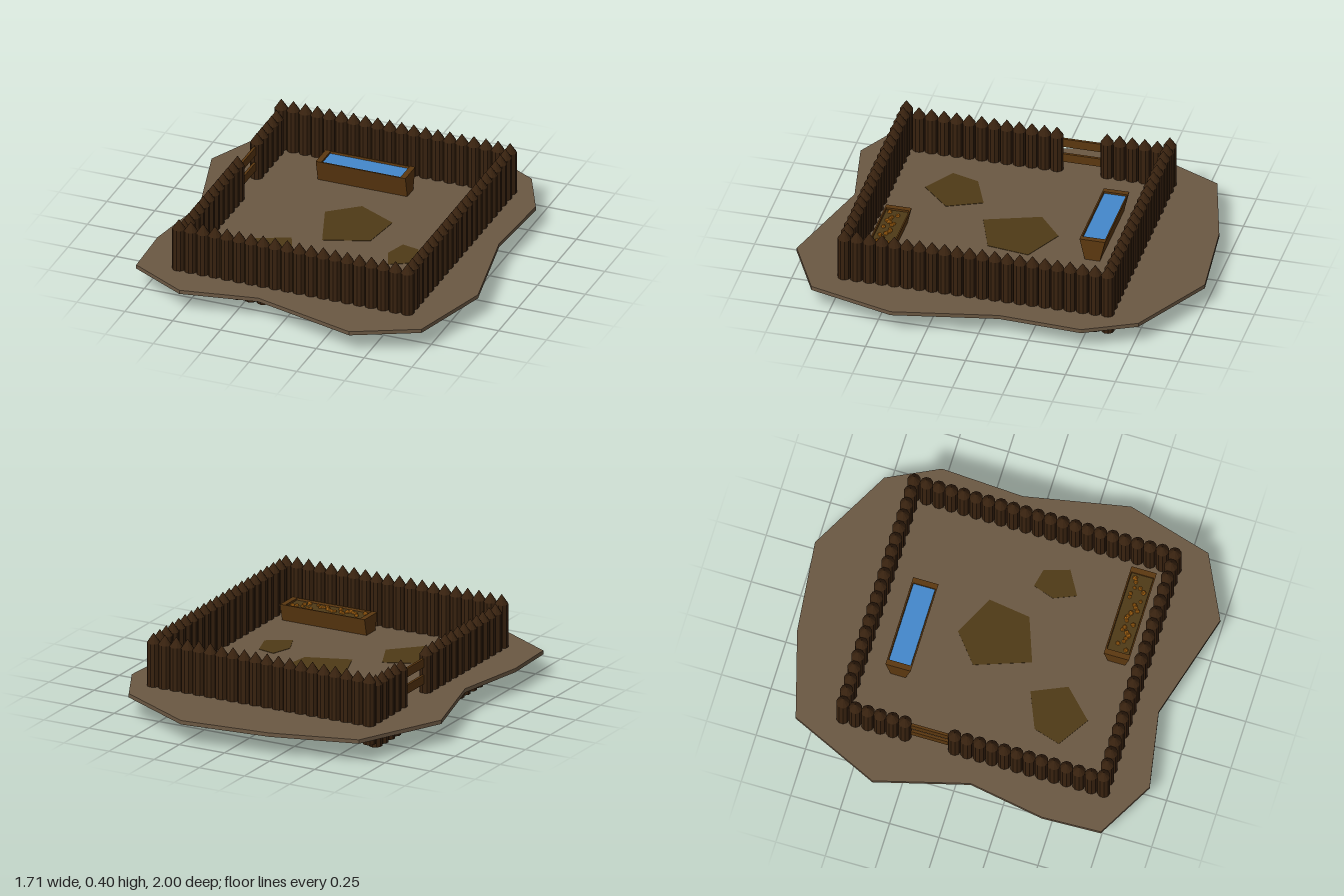
import * as THREE from 'three';

const mat = (color) => new THREE.MeshStandardMaterial({ color, flatShading: true });
const soil = mat(0x6b5843), mud = mat(0x4f3a17), bark = mat(0x38220f);
const plank = mat(0x5c3810), water = mat(0x4488cc), grain = mat(0xb56c14);

function add(parent, name, geometry, material, x = 0, y = 0, z = 0) {
  const mesh = new THREE.Mesh(geometry, material);
  mesh.name = name;
  mesh.position.set(x, y, z);
  parent.add(mesh);
  return mesh;
}

// Flat slab from an outline of [x, z] points, between two heights
function slab(points, bottom, top) {
  const shape = new THREE.Shape(points.map(([x, z]) => new THREE.Vector2(x, -z)));
  return new THREE.ExtrudeGeometry(shape, { depth: top - bottom, bevelEnabled: false })
    .rotateX(-Math.PI / 2).translate(0, bottom, 0);
}

// Cross-section in (z, y), extruded along x and centred
function beam(points, length) {
  const shape = new THREE.Shape(points.map(([z, y]) => new THREE.Vector2(z, y)));
  return new THREE.ExtrudeGeometry(shape, { depth: length, bevelEnabled: false })
    .translate(0, 0, -length / 2).rotateY(Math.PI / 2);
}

// Trough with sloping sides, thick end boards and a filling
function trough(name, fillName, fillMaterial) {
  const g = new THREE.Group();
  g.name = name;
  const length = 0.468, end = 0.028, w = 0.064, b = 0.038, h = 0.112, t = 0.007;
  const inner = length - 2 * end;
  add(g, 'troughSides', beam([[-b, 0], [b, 0], [w, h], [w - t, h],
    [b - t, 0.012], [t - b, 0.012], [t - w, h], [-w, h]], inner), plank);
  for (const s of [-1, 1]) {
    add(g, 'troughEnd', beam([[-b, 0], [b, 0], [w, h], [-w, h]], end), plank, s * (length - end) / 2);
  }
  add(g, fillName, beam([[t - b, 0.012], [b - t, 0.012], [w - t - 0.002, h - 0.01], [t + 0.002 - w, h - 0.01]], inner), fillMaterial);
  return g;
}

export function createModel() {
  const model = new THREE.Group();

  // Ground plate
  add(model, 'ground', slab([
    [0.24, -1], [0.655, -0.775], [0.78, -0.52], [0.757, -0.105], [0.857, 0.413],
    [0.735, 0.84], [0.42, 0.995], [-0.115, 0.845], [-0.5, 0.915], [-0.79, 0.755],
    [-0.8, 0.46], [-0.733, 0.08], [-0.857, -0.38], [-0.65, -0.83], [-0.22, -0.952],
  ], 0.105, 0.125), soil);

  // Mud patches, showing on both faces of the ground
  const patches = [
    [[0, -0.205], [0.2, -0.105], [0.17, 0.105], [-0.05, 0.185], [-0.145, -0.085]],
    [[0.33, 0.08], [0.42, 0.1], [0.46, 0.225], [0.34, 0.295], [0.295, 0.185]],
    [[-0.195, 0.22], [-0.12, 0.39], [-0.26, 0.53], [-0.415, 0.43], [-0.375, 0.295]],
  ];
  for (const p of patches) add(model, 'mudPatch', slab(p, 0.103, 0.127), mud);

  // Palisade of pointed stakes; the gate side stands slightly lower
  const stakeShape = [[0, 0.03], [0.033, 0.03], [0.033, 0.345], [0, 0.395]];
  const stakeGeo = new THREE.LatheGeometry(stakeShape.map(([r, y]) => new THREE.Vector2(r, y)), 10);
  const west = -0.586, east = 0.609, north = -0.61, south = 0.708, step = (east - west) / 19;
  const fence = new THREE.Group();
  fence.name = 'palisade';
  model.add(fence);
  for (let i = 0; i < 20; i++) {
    const x = west + i * step, z = north + (i + 1) * (south - north) / 21;
    add(fence, 'frontStake', stakeGeo, bark, x, 0, south);
    add(fence, 'backStake', stakeGeo, bark, x, 0, north);
    add(fence, 'leftStake', stakeGeo, bark, east, 0, z);
    if (i < 5 || i > 7) add(fence, 'rightStake', stakeGeo, bark, west, -0.03, z);
  }

  // Gate rails across the gap
  for (const y of [0.195, 0.28]) {
    add(model, 'gateRail', new THREE.BoxGeometry(0.013, 0.045, 0.25), plank, west, y, -0.168);
  }

  // Water trough on the ground
  const drink = trough('waterTrough', 'water', water);
  drink.position.set(-0.068, 0.125, -0.417);
  model.add(drink);

  // Feed trough, sunk through the ground
  const feed = trough('feedTrough', 'feedBed', mud);
  feed.position.set(0.299, 0.1, 0.576);
  model.add(feed);

  // Scattered feed lumps
  let seed = 7;
  const random = () => (seed = (seed * 16807) % 2147483647) / 2147483647;
  const lump = new THREE.IcosahedronGeometry(0.012, 0);
  for (let i = 0; i < 24; i++) {
    const m = add(feed, 'feedLump', lump, grain,
      -0.185 + 0.37 * (i + random()) / 24, 0.104, (random() - 0.5) * 0.08);
    m.rotation.set(random() * 3, random() * 3, 0);
    m.scale.setScalar(0.8 + random() * 0.4);
  }
  return model;
}
